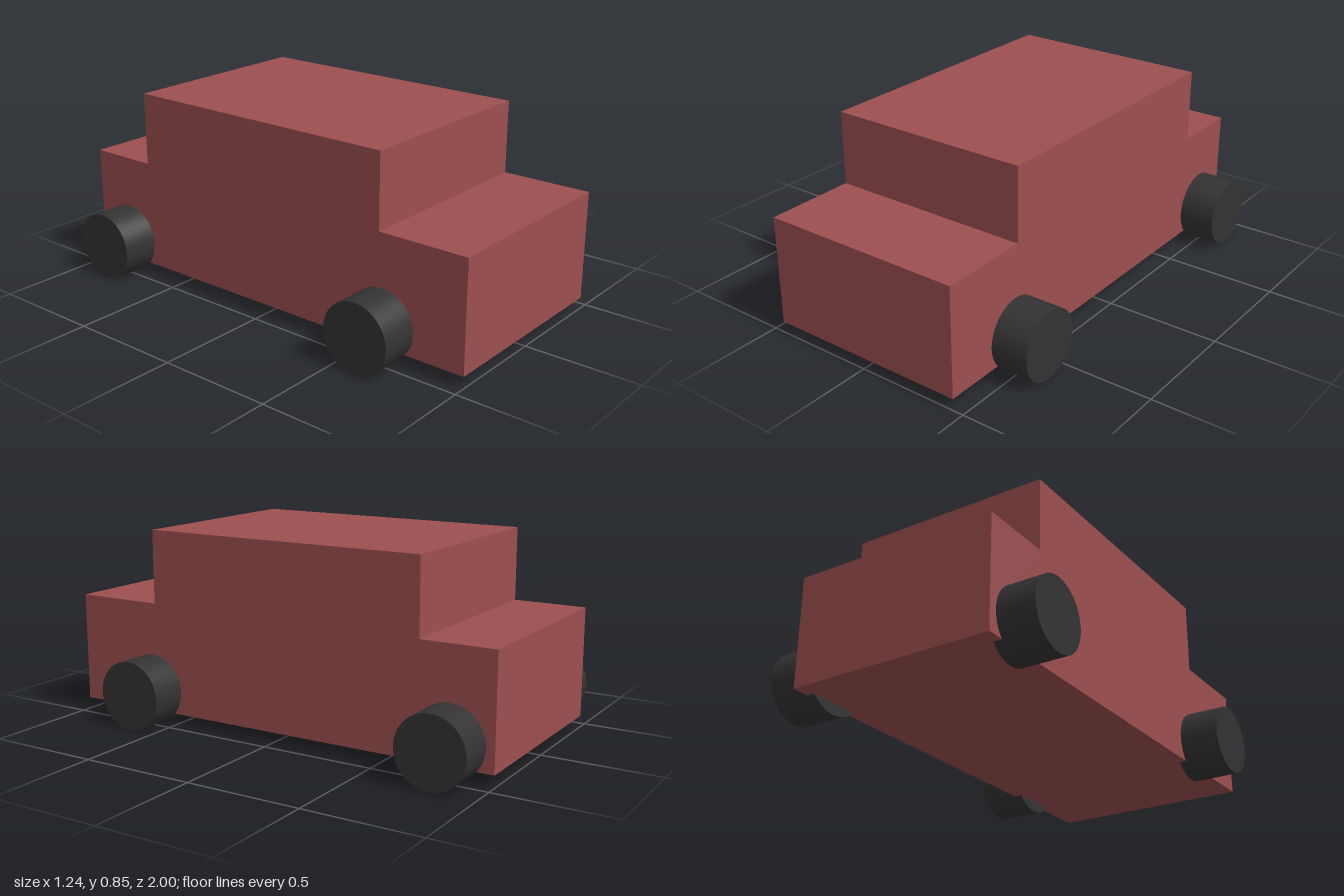
import * as THREE from 'three';

const paint = new THREE.MeshStandardMaterial({ color: 0x9c4f50 });
const rubber = new THREE.MeshStandardMaterial({ color: 0x333333 });

// Side profile as [z, y], extruded across the width
function makeBody() {
  const profile = [
    [-1, 0.05], [1, 0.05], [1, 0.527], [0.6, 0.527],
    [0.6, 0.846], [-0.68, 0.846], [-0.68, 0.527], [-1, 0.527],
  ].map(([z, y]) => new THREE.Vector2(z, y));
  const geometry = new THREE.ExtrudeGeometry(new THREE.Shape(profile), {
    depth: 0.9, bevelEnabled: false,
  });
  geometry.rotateY(-Math.PI / 2).translate(0.453, 0, 0);
  const body = new THREE.Mesh(geometry, paint);
  body.name = 'body';
  return body;
}

// Wheel with its axle along x
function makeWheel(name, x, z) {
  const geometry = new THREE.CylinderGeometry(0.15, 0.15, 0.2, 48);
  geometry.rotateZ(Math.PI / 2);
  const wheel = new THREE.Mesh(geometry, rubber);
  wheel.name = name;
  wheel.position.set(x, 0.15, z);
  return wheel;
}

export function createModel() {
  const car = new THREE.Group();
  car.name = 'car';
  car.add(makeBody());
  const wheels = [
    ['frontLeftWheel', 0.517, 0.617],
    ['frontRightWheel', -0.518, 0.617],
    ['rearLeftWheel', 0.517, -0.813],
    ['rearRightWheel', -0.51, -0.813],
  ];
  for (const [name, x, z] of wheels) car.add(makeWheel(name, x, z));
  return car;
}
